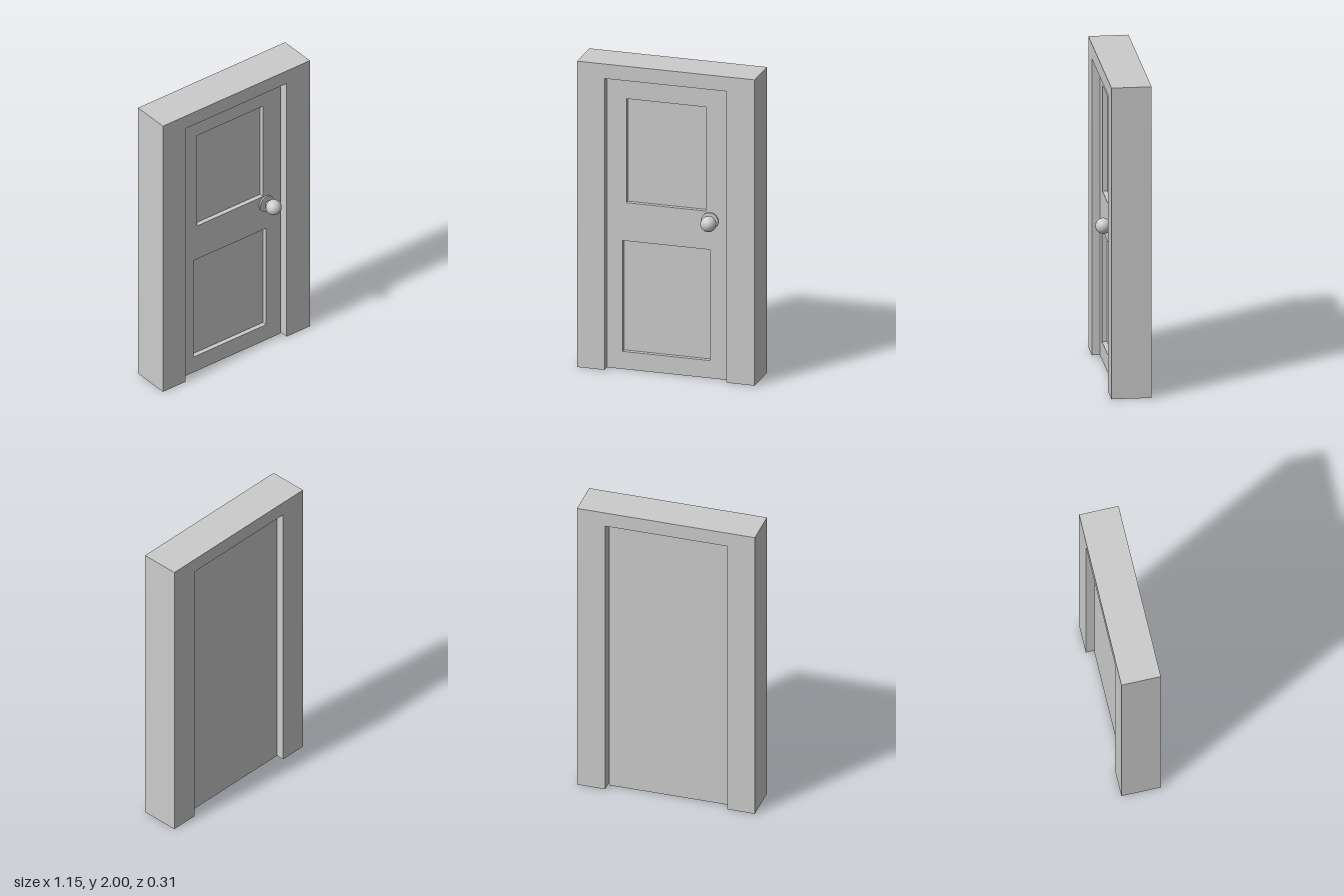
import * as THREE from 'three';

const material = new THREE.MeshStandardMaterial({ color: 0xcccccc });

function add(parent, name, geometry, x = 0, y = 0, z = 0) {
  const mesh = new THREE.Mesh(geometry, material);
  mesh.name = name;
  mesh.position.set(x, y, z);
  parent.add(mesh);
  return mesh;
}

// Closed outline from [x, y] corners
const outline = (Type, corners) => new Type(corners.map(([x, y]) => new THREE.Vector2(x, y)));
const rectangle = (Type, x0, x1, y0, y1) => outline(Type, [[x0, y0], [x1, y0], [x1, y1], [x0, y1]]);

// Flat board cut from a shape, between two depths
const board = (shape, z0, z1) =>
  new THREE.ExtrudeGeometry(shape, { depth: z1 - z0, bevelEnabled: false }).translate(0, 0, z0);

export function createModel() {
  const model = new THREE.Group();
  model.name = 'door';

  // Frame: two jambs and a head, open at the floor
  const frame = outline(THREE.Shape, [
    [-0.575, 0], [-0.398, 0], [-0.398, 1.905], [0.393, 1.905],
    [0.393, 0], [0.575, 0], [0.575, 2], [-0.575, 2],
  ]);
  add(model, 'frame', board(frame, -0.16, 0.09));

  // Leaf: a sheet with two sunken panels, narrow gap on the latch side
  const leaf = new THREE.Group();
  leaf.name = 'leaf';
  model.add(leaf);
  const front = 0.04, panel = 0.01, back = -0.108;
  const face = rectangle(THREE.Shape, -0.398, 0.383, 0, 1.905);
  face.holes.push(
    rectangle(THREE.Path, -0.27, 0.245, 1.09, 1.77),
    rectangle(THREE.Path, -0.295, 0.27, 0.115, 0.84),
  );
  add(leaf, 'panelSurround', board(face, panel, front));
  add(leaf, 'leafBacking', board(rectangle(THREE.Shape, -0.398, 0.383, 0, 1.905), back, panel));

  // Knob: flat rose, short stem and ball
  const knob = new THREE.Group();
  knob.name = 'knob';
  model.add(knob);
  const disc = (r, h) => new THREE.CylinderGeometry(r, r, h, 24).rotateX(Math.PI / 2);
  add(knob, 'rose', disc(0.055, 0.012), 0.27, 1.03, front + 0.004);
  add(knob, 'stem', disc(0.02, 0.05), 0.278, 1.03, front + 0.025);
  add(knob, 'ball', new THREE.SphereGeometry(0.05, 16, 12), 0.28, 1.03, 0.104);

  return model;
}
